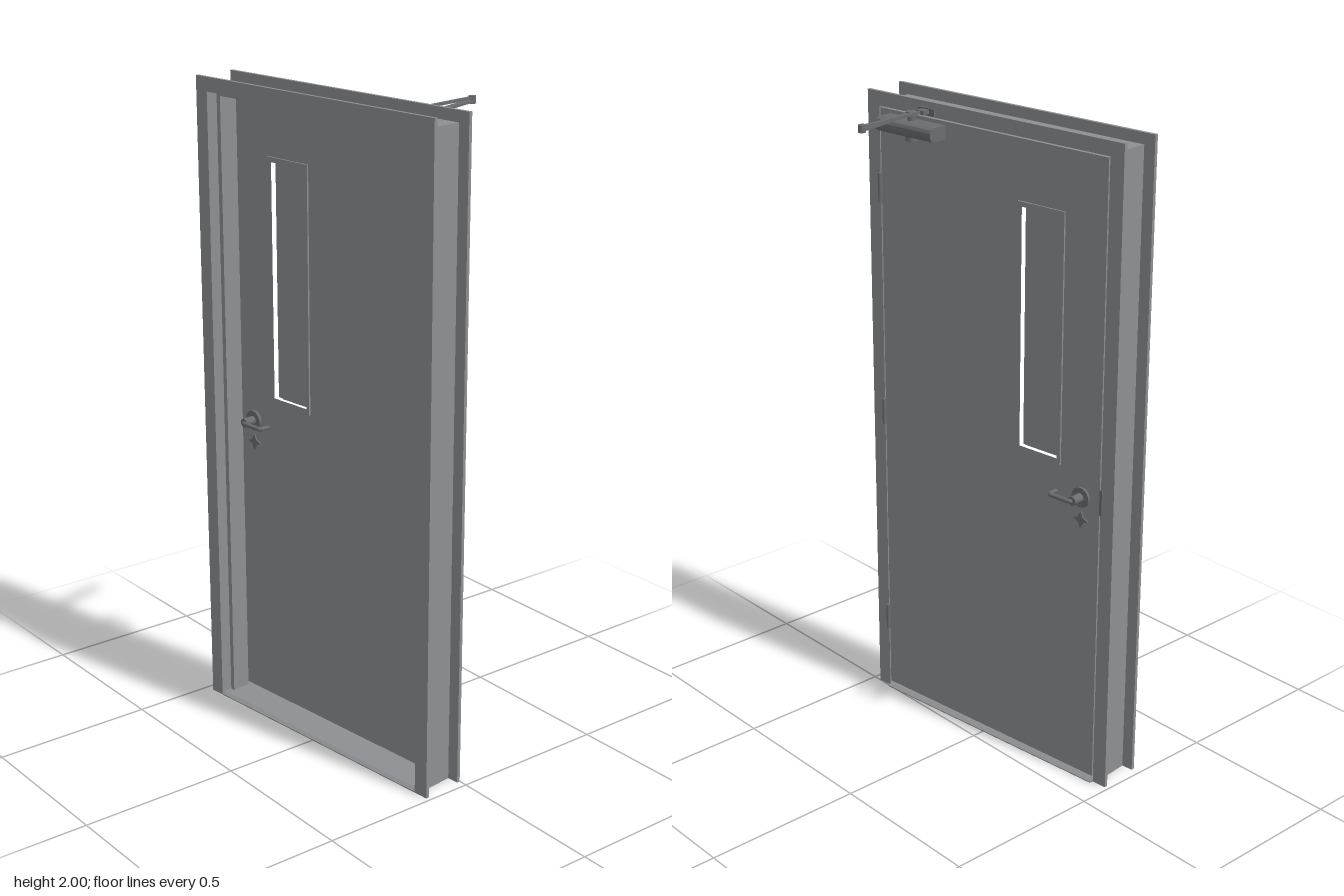
import * as THREE from 'three';

const paint = new THREE.MeshStandardMaterial({ color: 0x8e8f92 });
paint.name = 'paintedSteelGrey';
const metal = new THREE.MeshStandardMaterial({ color: 0x6c6d70 });
metal.name = 'hardwareGrey';

// Local axes: x = through the wall, z = along the door width (hinges at +z)
const FACE = 0.0715, HALF = 0.4825, OPEN = 0.435, OPEN_TOP = 1.957;

function add(parent, name, geometry, material, x = 0, y = 0, z = 0) {
  const mesh = new THREE.Mesh(geometry, material);
  mesh.name = name;
  mesh.position.set(x, y, z);
  parent.add(mesh);
  return mesh;
}

function block(parent, name, material, x0, x1, y0, y1, z0, z1) {
  const g = new THREE.BoxGeometry(x1 - x0, y1 - y0, z1 - z0);
  return add(parent, name, g, material, (x0 + x1) / 2, (y0 + y1) / 2, (z0 + z1) / 2);
}

// Flat outline of (z, y) points, extruded through the wall from x0 to x1
const outline = (pts) => pts.map(([z, y]) => new THREE.Vector2(-z, y));
const rect = (z0, z1, y0, y1) => [[z0, y0], [z1, y0], [z1, y1], [z0, y1]];
function slab(pts, x0, x1, hole) {
  const shape = new THREE.Shape(outline(pts));
  if (hole) shape.holes.push(new THREE.Path(outline(hole)));
  const g = new THREE.ExtrudeGeometry(shape, { depth: x1 - x0, bevelEnabled: false });
  return g.rotateY(Math.PI / 2).translate(x0, 0, 0);
}

// Two jambs and a head as one inverted U
function portal(inner, innerTop, outer, outerTop, x0, x1) {
  return slab([
    [-outer, 0], [-inner, 0], [-inner, innerTop], [inner, innerTop],
    [inner, 0], [outer, 0], [outer, outerTop], [-outer, outerTop],
  ], x0, x1);
}

// Straight bar between two points
function bar(parent, name, a, b, width, height) {
  const from = new THREE.Vector3(...a), to = new THREE.Vector3(...b);
  const mesh = add(parent, name, new THREE.BoxGeometry(width, height, from.distanceTo(to)), metal);
  mesh.position.copy(from).add(to).multiplyScalar(0.5);
  mesh.lookAt(to);
  return mesh;
}

function disc(parent, name, r, h, x, y, z, sideways = false) {
  const g = new THREE.CylinderGeometry(r, r, h, 20);
  if (sideways) g.rotateZ(Math.PI / 2);
  return add(parent, name, g, metal, x, y, z);
}

function buildFrame() {
  const frame = new THREE.Group();
  frame.name = 'doorFrame';
  add(frame, 'frontFlange', portal(OPEN, OPEN_TOP, HALF, 2, FACE - 0.011, FACE), paint);
  add(frame, 'backFlange', portal(OPEN, OPEN_TOP, HALF, 2, -FACE, -FACE + 0.011), paint);
  add(frame, 'jambWeb', portal(OPEN, OPEN_TOP, 0.446, 1.967, -FACE + 0.011, FACE - 0.011), paint);
  add(frame, 'doorStop', portal(0.42, 1.942, OPEN, OPEN_TOP, -0.0345, 0.027), paint);

  // Threshold with bevelled long edges
  const profile = new THREE.Shape([[-FACE, 0], [0.083, 0], [0.083, 0.003], [0.068, 0.009],
    [-0.06, 0.009], [-FACE, 0.003]].map(([x, y]) => new THREE.Vector2(x, y)));
  const sill = new THREE.ExtrudeGeometry(profile, { depth: 2 * OPEN - 0.002, bevelEnabled: false });
  add(frame, 'threshold', sill.translate(0, 0, -OPEN + 0.001), paint);

  block(frame, 'strikePlate', metal, 0.04, FACE + 0.004, 0.9, 0.98, -0.442, -0.433);
  return frame;
}

function buildLever(side, doorFace) {
  const lever = new THREE.Group();
  lever.name = side > 0 ? 'frontLever' : 'backLever';
  const y = 0.938, z = -0.365, at = (d) => doorFace + side * d;
  disc(lever, 'rose', 0.031, 0.009, at(0.0045), y, z, true);
  disc(lever, 'neck', 0.014, 0.04, at(0.026), y, z, true);
  // Handle bends along the door and returns towards it
  const path = new THREE.CurvePath();
  const pts = [[0.03, 0], [0.05, 0.004], [0.05, 0.076], [0.046, 0.082], [0.018, 0.082]]
    .map(([d, dz]) => new THREE.Vector3(at(d), y, z + dz));
  for (let i = 1; i < pts.length; i++) path.add(new THREE.LineCurve3(pts[i - 1], pts[i]));
  add(lever, 'handle', new THREE.TubeGeometry(path, 40, 0.007, 8), metal);
  disc(lever, 'handleTip', 0.007, 0.002, at(0.018), y, z + 0.082, true);

  // Four-pointed turn piece under the lever
  const star = [];
  for (let i = 0; i < 8; i++) {
    const r = i % 2 ? 0.012 : 0.028, a = (i * Math.PI) / 4;
    star.push([z + r * Math.cos(a), 0.866 + r * Math.sin(a)]);
  }
  const [x0, x1] = [at(0), at(0.005)].sort((a, b) => a - b);
  add(lever, 'turnPiece', slab(star, x0, x1), metal);
  return lever;
}

function buildDoor() {
  const door = new THREE.Group();
  door.name = 'door';
  const x0 = 0.0295, x1 = 0.0715;
  const opening = rect(-0.272, -0.124, 1.03, 1.76);
  add(door, 'doorLeaf', slab(rect(-0.431, 0.431, 0.018, 1.953), x0, x1, opening), paint);
  block(door, 'windowPane', paint, 0.047, 0.054, 1.03, 1.76, -0.272, -0.124);
  const bead = rect(-0.284, -0.112, 1.015, 1.775);
  add(door, 'frontWindowTrim', slab(bead, x1, x1 + 0.005, opening), paint);
  add(door, 'backWindowTrim', slab(bead, x0 - 0.005, x0, opening), paint);
  door.add(buildLever(1, x1), buildLever(-1, x0));

  // Latch edge plate and three hinges
  block(door, 'latchPlate', metal, 0.038, 0.063, 0.88, 1.0, -0.433, -0.431);
  for (const y of [0.263, 0.988, 1.713]) {
    disc(door, 'hingeKnuckle', 0.0065, 0.085, x1 + 0.005, y, 0.433);
    block(door, 'hingeLeaf', metal, 0.035, x1 + 0.003, y - 0.0425, y + 0.0425, 0.431, 0.435);
  }
  return door;
}

function buildCloser() {
  const closer = new THREE.Group();
  closer.name = 'doorCloser';
  // Body with rounded outer edges
  const s = new THREE.Shape([[FACE, 1.9], [0.122, 1.9], [0.132, 1.905], [0.136, 1.914],
    [0.136, 1.928], [0.132, 1.937], [0.122, 1.942], [FACE, 1.942]]
    .map(([x, y]) => new THREE.Vector2(x, y)));
  const body = new THREE.ExtrudeGeometry(s, { depth: 0.222, bevelEnabled: false });
  add(closer, 'closerBody', body.translate(0, 0, 0.168), metal);
  disc(closer, 'spindle', 0.012, 0.083, 0.092, 1.925, 0.284);
  disc(closer, 'spindleCap', 0.018, 0.014, 0.092, 1.889, 0.284);
  disc(closer, 'armHub', 0.017, 0.014, 0.092, 1.961, 0.284);

  // Main arm, elbow and forearm back to the head bracket
  bar(closer, 'mainArm', [0.092, 1.961, 0.284], [0.336, 1.966, 0.239], 0.02, 0.007);
  disc(closer, 'elbow', 0.011, 0.022, 0.336, 1.969, 0.239);
  bar(closer, 'forearm', [0.336, 1.974, 0.239], [0.2, 1.973, 0.242], 0.013, 0.007);
  bar(closer, 'forearmRod', [0.22, 1.973, 0.2415], [0.094, 1.972, 0.2445], 0.009, 0.008);
  block(closer, 'headBracket', metal, FACE, FACE + 0.005, 1.96, 1.982, 0.208, 0.272);
  block(closer, 'bracketLug', metal, FACE + 0.005, 0.1, 1.966, 1.978, 0.228, 0.258);
  return closer;
}

export function createModel() {
  const model = new THREE.Group();
  model.name = 'doorAssembly';
  const turned = new THREE.Group();
  turned.name = 'turnedDoorway';
  turned.rotation.y = 0.1047;
  turned.position.x = -0.122;
  turned.add(buildFrame(), buildDoor(), buildCloser());
  model.add(turned);
  return model;
}
